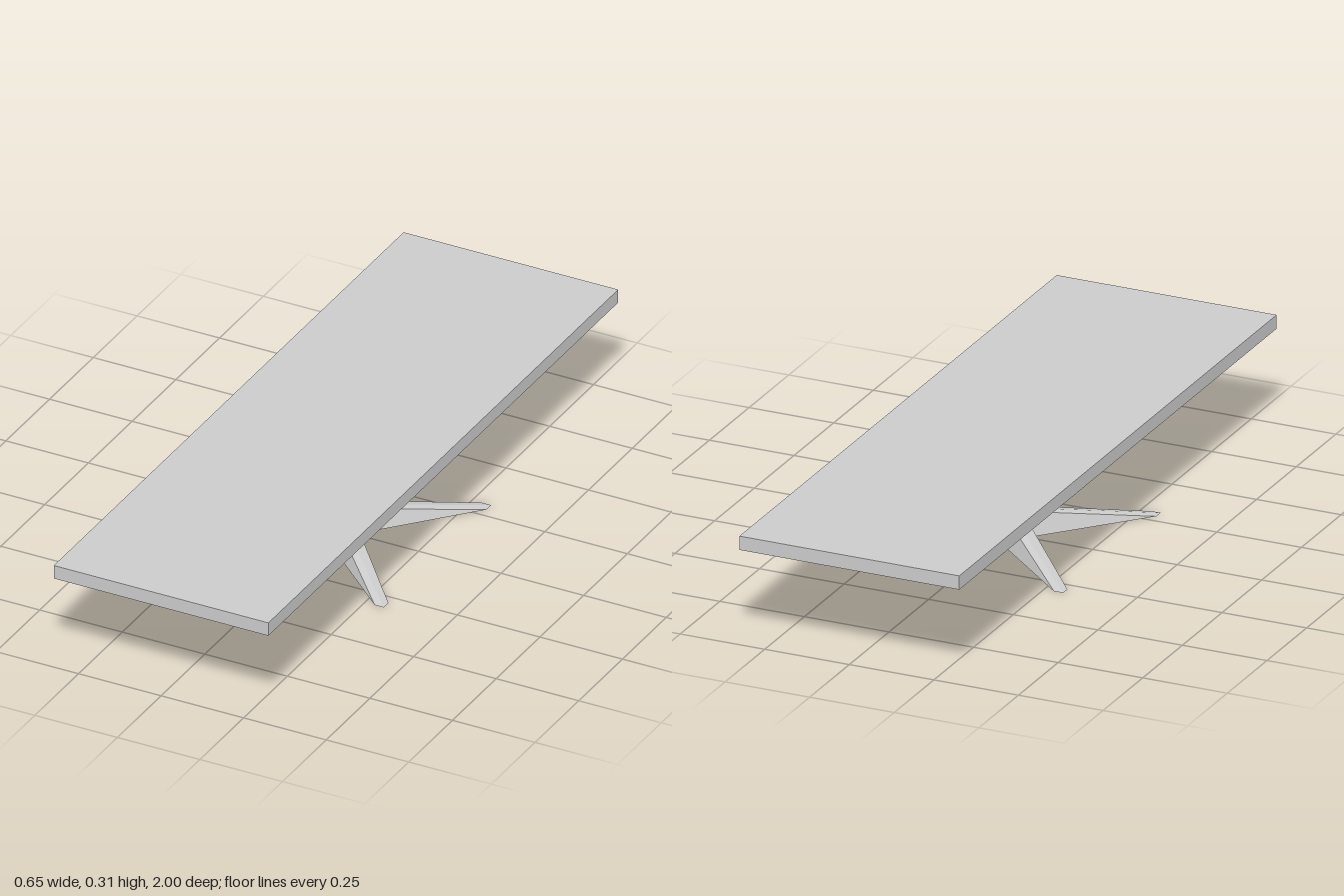
import * as THREE from 'three';

const material = new THREE.MeshStandardMaterial({ color: 0xcccccc, flatShading: true });

function addMesh(parent, name, geometry) {
  const mesh = new THREE.Mesh(geometry, material);
  mesh.name = name;
  parent.add(mesh);
  return mesh;
}

// Square tapering body from [halfWidth, height] pairs, bottom to top
function squareLoft(profile) {
  const points = profile.map(([half, y]) => new THREE.Vector2(half * Math.SQRT2, y));
  return new THREE.LatheGeometry(points, 4, Math.PI / 4).toNonIndexed();
}

// One diagonal foot: a ridge falling from the column corner to a chamfered tip
function footGeometry() {
  const corners = [
    [0, 0, 0],             // 0 centre of the underside
    [0.003, 0, 0.06],      // 1 valley to the next foot
    [0.28, 0, 0.307],      // 2 tip
    [0.307, 0, 0.307],     // 3 tip
    [0.307, 0, 0.28],      // 4 tip
    [0.06, 0, -0.003],     // 5 valley to the previous foot
    [0.02, 0.066, 0.047],  // 6 top, front side
    [0.047, 0.066, 0.047], // 7 top, column corner
    [0.047, 0.066, 0],     // 8 top, other side
    [0, 0.066, 0.047],     // 9 start of the next foot
  ];
  const faces = [
    [1, 2, 6], [4, 5, 8], [1, 6, 9],            // flanks and valley
    [6, 2, 3], [6, 3, 7], [7, 3, 4], [7, 4, 8], // sloping ridge
    [0, 2, 1], [0, 3, 2], [0, 4, 3], [0, 5, 4], // underside
  ];
  const positions = faces.flat().flatMap((i) => corners[i]);
  const geometry = new THREE.BufferGeometry();
  geometry.setAttribute('position', new THREE.Float32BufferAttribute(positions, 3));
  geometry.computeVertexNormals();
  return geometry;
}

export function createModel() {
  const table = new THREE.Group();
  table.name = 'table';

  // Long flat top
  addMesh(table, 'tableTop', new THREE.BoxGeometry(0.65, 0.04, 2)).position.y = 0.295;

  // Flared support under the top
  addMesh(table, 'topSupport', squareLoft([[0.053, 0.2], [0.325, 0.275]]));

  // Waisted square column
  addMesh(table, 'column', squareLoft([[0.047, 0.066], [0.04, 0.133], [0.053, 0.2]]));

  // Four feet forming a diagonal cross
  const base = new THREE.Group();
  base.name = 'base';
  table.add(base);
  const foot = footGeometry();
  for (let i = 0; i < 4; i++) {
    addMesh(base, 'foot', foot).rotation.y = i * Math.PI / 2;
  }
  return table;
}
